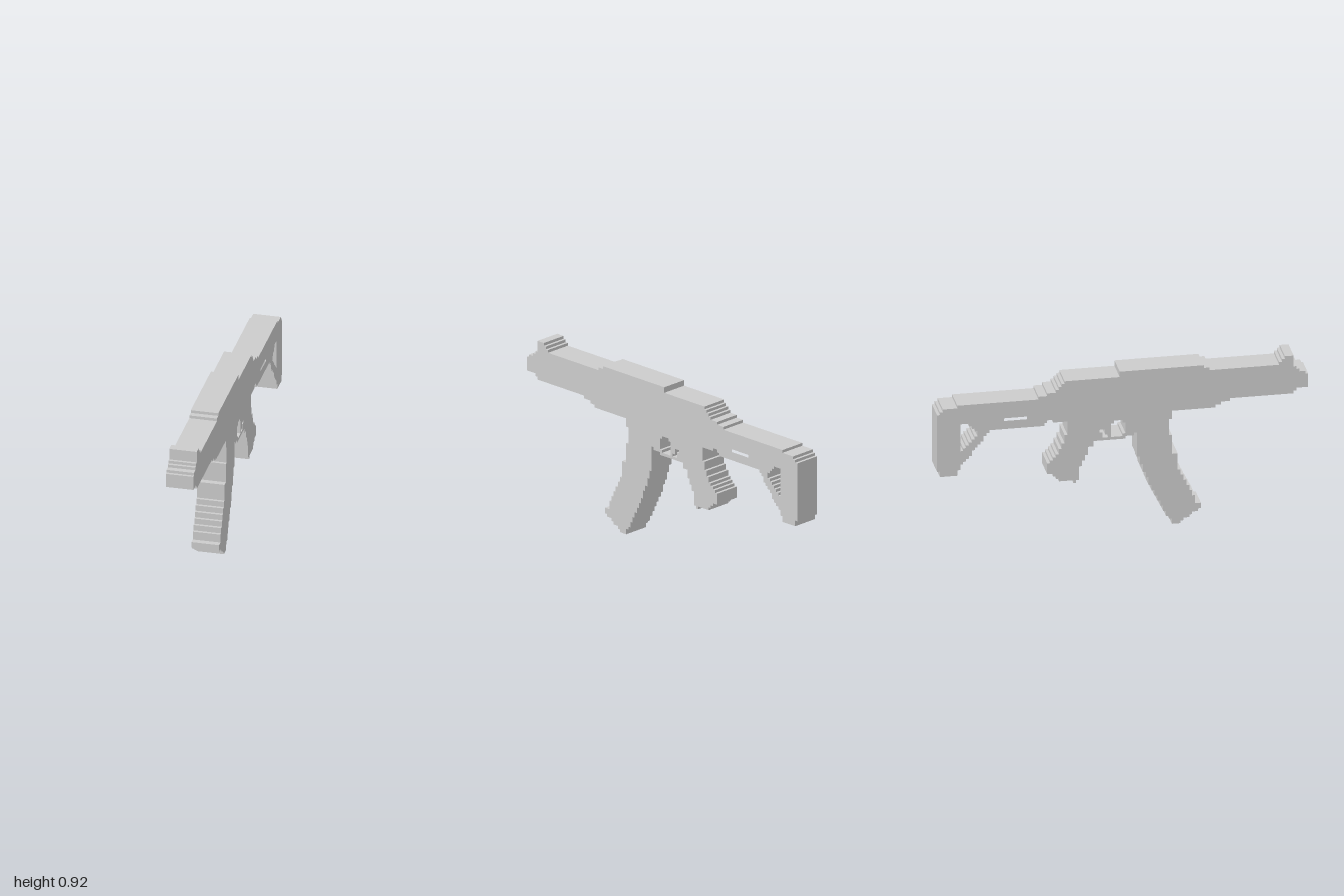
import * as THREE from 'three';

// Side profiles are given in grid cells: u runs from front to back, v runs up.
const CELL = 1 / 64;
const WIDTH = 0.15;
const material = new THREE.MeshStandardMaterial({ color: 0xcccccc, flatShading: true });

// Turns every sloped edge of a closed outline into a staircase on the grid.
function stairs(outline) {
  const points = [];
  const add = (u, v) => points.push(new THREE.Vector2(u * CELL - 1, v * CELL));
  outline.forEach(([u0, v0], i) => {
    const [u1, v1] = outline[(i + 1) % outline.length];
    add(u0, v0);
    const du = u1 - u0, dv = v1 - v0;
    const n = Math.min(Math.abs(du), Math.abs(dv));
    let u = u0;
    for (let k = 1; k <= n; k++) {
      const v = v0 + Math.round(dv * k / n);
      add(u, v);
      u = u0 + Math.round(du * k / n);
      if (k < n) add(u, v);
    }
  });
  return points;
}

// Extrudes a stepped side profile across the full width.
function slab(name, outline, holes = []) {
  const shape = new THREE.Shape(stairs(outline));
  shape.holes = holes.map((hole) => new THREE.Path(stairs(hole)));
  const geometry = new THREE.ExtrudeGeometry(shape, { depth: WIDTH, bevelEnabled: false });
  geometry.translate(0, 0, -WIDTH / 2).rotateY(Math.PI / 2);
  const mesh = new THREE.Mesh(geometry, material);
  mesh.name = name;
  return mesh;
}

export function createModel() {
  const model = new THREE.Group();
  model.name = 'steppedProp';

  // Barrel, front sight and receiver
  model.add(slab('receiver', [
    [0, 47], [0, 52], [1, 52], [1, 53], [3, 53], [5, 55], [5, 59], [8, 59],
    [8, 58], [9, 58], [9, 57], [10, 57], [10, 56], [34, 56], [34, 57], [36, 57],
    [36, 58], [65, 58], [65, 56], [84, 56], [88, 52], [90, 52],
    [90, 42], [88, 42], [88, 41], [83, 41], [83, 42],
    [32, 42], [32, 43], [30, 43], [30, 44], [27, 44], [27, 45],
    [5, 45], [5, 46], [4, 46], [4, 47],
  ]));

  // Curved magazine
  model.add(slab('magazine', [
    [47, 42], [59, 42], [59, 32], [58, 26], [57, 23], [56, 20], [54, 15],
    [51, 9], [48, 3], [46, 0], [44, 0], [41, 2], [37, 5], [37, 6], [39, 7],
    [40, 10], [42, 14], [44, 18], [45, 20], [46, 26], [47, 26], [47, 33],
    [48, 33], [48, 39], [47, 39],
  ]));

  // Trigger guard with its two openings
  model.add(slab('triggerGuard', [
    [59, 42], [59, 35], [60, 35], [60, 34], [63, 34], [63, 33], [73, 33], [73, 42],
  ], [
    [[63, 35], [63, 39], [64, 39], [64, 40], [67, 40], [67, 39], [68, 39], [68, 34], [64, 34], [64, 35]],
    [[69, 34], [69, 35], [70, 35], [70, 37], [72, 37], [72, 36], [71, 36], [71, 34]],
  ]));

  // Pistol grip
  model.add(slab('grip', [
    [73, 42], [83, 42], [83, 36], [84, 36], [85, 33], [87, 29], [90, 26],
    [90, 22], [88, 22], [86, 20], [81, 19], [81, 18], [80, 18], [80, 19],
    [79, 19], [79, 21], [78, 24], [76, 28], [75, 31], [74, 31], [74, 33], [73, 33],
  ]));

  // Shoulder stock with slot and triangular cutout
  model.add(slab('stock', [
    [90, 52], [90, 51], [93, 51], [93, 50], [121, 50], [121, 49], [126, 49],
    [126, 48], [127, 48], [127, 47], [128, 47], [128, 26], [127, 26], [127, 24],
    [121, 24], [121, 25], [109, 40], [91, 40], [91, 41], [90, 41],
  ], [
    [[97, 43], [97, 44], [105, 44], [105, 43]],
    [[120, 33], [120, 43], [117, 43], [117, 42], [116, 42], [116, 41], [115, 41], [115, 40], [114, 40], [114, 39]],
  ]));

  return model;
}
